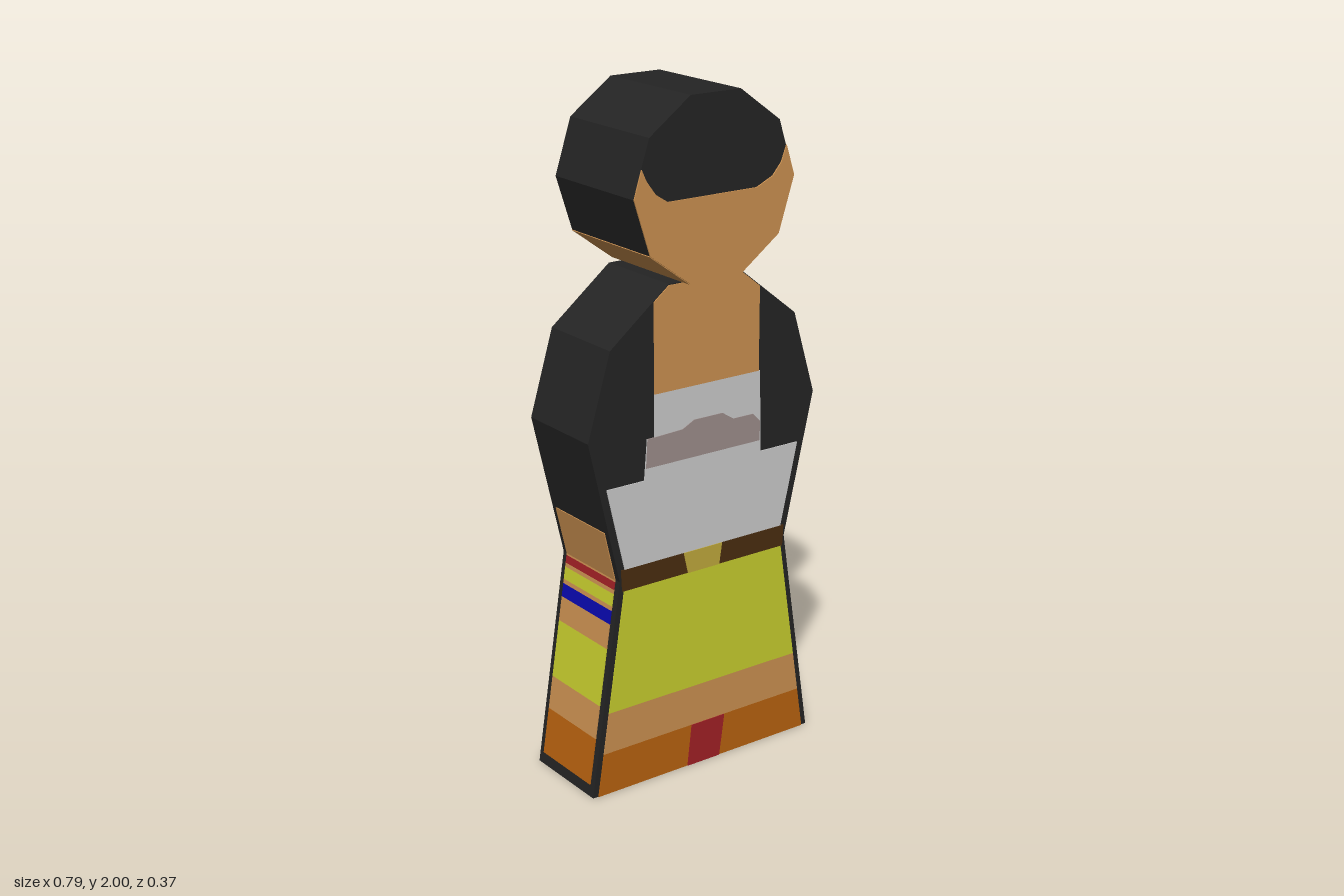
import * as THREE from 'three';

const mat = (name, color) => {
  const m = new THREE.MeshStandardMaterial({ color });
  m.name = name;
  return m;
};

const WAIST = 0.65, THIN = 0.004;
const BODY_Z = 0.142, HEAD_Z = 0.185, HEAD_R = 0.27, HEAD_Y = 1.744;

// half width of the body below the chest
const halfWidth = (y) => (y < WAIST ? 0.395 - 0.1 * (y / WAIST) : 0.295 + 0.1 * ((y - WAIST) / 0.43));

function extrude(points, depth) {
  const shape = new THREE.Shape(points.map(([x, y]) => new THREE.Vector2(x, y)));
  return new THREE.ExtrudeGeometry(shape, { depth, bevelEnabled: false });
}

export function createModel() {
  const black = mat('black', 0x242424);
  const tan = mat('tan', 0xcd9251);
  const white = mat('white', 0xcdcdcd);
  const mauve = mat('mauve', 0x9e8f8d);
  const brown = mat('brown', 0x4b2d10);
  const gold = mat('gold', 0xc2aa3c);
  const yellow = mat('yellow', 0xc9cf2e);
  const orange = mat('orange', 0xba630f);
  const red = mat('red', 0xa32026);
  const blue = mat('blue', 0x0808b0);

  const model = new THREE.Group();
  model.name = 'figure';
  const add = (name, geometry, material, parent = model) => {
    const mesh = new THREE.Mesh(geometry, material);
    mesh.name = name;
    parent.add(mesh);
    return mesh;
  };

  // body block
  const half = [[0.395, 0], [0.295, WAIST], [0.395, 1.08], [0.32, 1.33], [0.125, 1.485]];
  const outline = [...half, ...half.map(([x, y]) => [-x, y]).reverse()];
  add('body', extrude(outline, 2 * BODY_Z).translate(0, 0, -BODY_Z), black);

  // ten-sided head
  const ring = [];
  for (let i = 0; i < 10; i++) {
    const a = (i * Math.PI) / 5;
    ring.push([HEAD_R * Math.cos(a), HEAD_Y + HEAD_R * Math.sin(a)]);
  }
  add('head', extrude(ring, 2 * HEAD_Z).translate(0, 0, -HEAD_Z), black);

  // face below the hairline
  const face = [
    ring[6], ring[7], ring[8], ring[9], ring[0], [0.242, 1.83], [0.225, 1.785], [0.195, 1.75], [0.14, 1.725],
    [-0.16, 1.725], [-0.2, 1.75], [-0.23, 1.79], [-0.245, 1.822], ring[5],
  ];
  add('face', extrude(face, THIN).translate(0, 0, HEAD_Z), tan);

  // chin: the three lowest sides of the head
  const chord = 2 * HEAD_R * Math.sin(Math.PI / 10);
  const apothem = HEAD_R * Math.cos(Math.PI / 10);
  for (const k of [-1, 0, 1]) {
    const g = new THREE.BoxGeometry(chord, THIN, 2 * HEAD_Z);
    g.translate(0, -apothem, 0).rotateZ((k * Math.PI) / 5).translate(0, HEAD_Y, 0);
    add('chin', g, tan);
  }

  // painted plates on the front and back
  const front = new THREE.Group();
  front.name = 'frontPaint';
  const back = new THREE.Group();
  back.name = 'backPaint';
  back.rotation.y = Math.PI;
  model.add(front, back);

  const plate = (name, points, material, parent, lift = 0) =>
    add(name, extrude(points, THIN).translate(0, 0, BODY_Z - 0.001 + lift), material, parent);
  const band = (name, y0, y1, material, parent, inset = 0.018) => {
    const a = halfWidth(y0) - inset, b = halfWidth(y1) - inset;
    plate(name, [[-a, y0], [a, y0], [b, y1], [-b, y1]], material, parent);
  };

  band('hem', 0, 0.13, orange, front);
  band('shins', 0.13, 0.255, tan, front);
  band('skirt', 0.255, 0.62, yellow, front);
  band('belt', 0.62, 0.685, brown, front, 0.012);
  band('shirt', 0.685, 0.935, white, front, 0.024);
  plate('hemGap', [[-0.06, 0], [0.057, 0], [0.075, 0.13], [-0.045, 0.13]], red, front, 0.002);
  plate('buckle', [[-0.06, 0.62], [0.052, 0.62], [0.062, 0.685], [-0.075, 0.685]], gold, front, 0.002);
  plate('shirtChest', [[-0.21, 0.935], [0.2, 0.935], [0.195, 1.18], [-0.175, 1.18], [-0.175, 1.055], [-0.2, 1.055]], white, front);
  plate('chestShade', [
    [-0.205, 0.97], [0.195, 0.97], [0.195, 1.03], [0.17, 1.055], [0.1, 1.055], [0.06, 1.08],
    [-0.04, 1.08], [-0.08, 1.06], [-0.2, 1.055],
  ], mauve, front, 0.002);
  plate('neckline', [[-0.175, 1.18], [0.19, 1.18], [0.19, 1.43], [0.125, 1.482], [-0.125, 1.482], [-0.175, 1.443]], tan, front);

  band('hem', 0.03, 0.15, orange, back, 0.022);
  band('shins', 0.15, 0.275, tan, back, 0.022);
  band('skirt', 0.275, 0.645, yellow, back, 0.022);
  band('belt', 0.645, 0.7, brown, back, 0.018);
  band('shirt', 0.7, 0.93, white, back, 0.024);
  plate('hemGap', [[-0.075, 0.03], [0.045, 0.03], [0.055, 0.15], [-0.07, 0.15]], red, back, 0.002);

  // painted bands on the sides, leaning with the body and split at the waist
  const sideBand = (name, y0, y1, material, s) => {
    if (y0 < WAIST && y1 > WAIST) {
      sideBand(name, y0, WAIST, material, s);
      sideBand(name, WAIST, y1, material, s);
      return;
    }
    const g = extrude([[-0.122, y0], [0.122, y0], [0.122, y1], [-0.122, y1]], THIN).rotateY((s * Math.PI) / 2);
    const p = g.attributes.position;
    for (let i = 0; i < p.count; i++) p.setX(i, p.getX(i) + s * (halfWidth(p.getY(i)) - 0.001));
    g.computeVertexNormals();
    add(name, g, material);
  };
  for (const s of [1, -1]) {
    sideBand('sideHem', 0.035, 0.175, orange, s);
    sideBand('sideShin', 0.175, 0.275, tan, s);
    sideBand('sideSkirt', 0.275, 0.447, yellow, s);
  }
  // left arm
  sideBand('leftCuff', 0.447, 0.455, red, 1);
  sideBand('leftArm', 0.455, 0.8, tan, 1);
  // right arm with bracelets
  sideBand('rightHand', 0.447, 0.52, tan, -1);
  sideBand('blueBracelet', 0.52, 0.56, blue, -1);
  sideBand('wrist', 0.56, 0.573, tan, -1);
  sideBand('yellowBracelet', 0.573, 0.61, yellow, -1);
  sideBand('wrist', 0.61, 0.622, tan, -1);
  sideBand('redBracelet', 0.622, 0.645, red, -1);
  sideBand('rightArm', 0.645, 0.8, tan, -1);

  return model;
}
